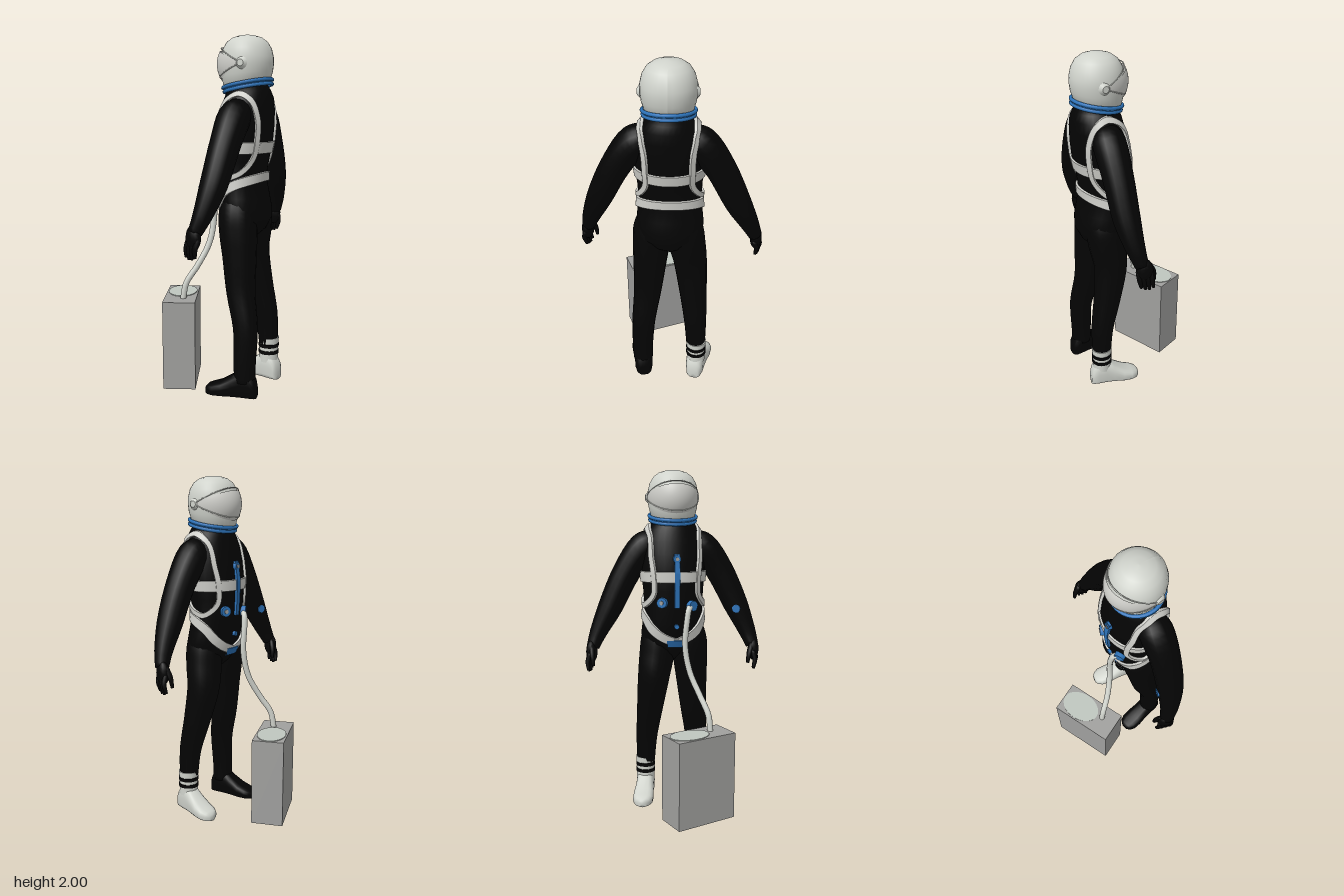
import * as THREE from 'three';

const mat = (name, color, side = THREE.FrontSide) => {
  const m = new THREE.MeshStandardMaterial({ color, side });
  m.name = name;
  return m;
};
const V = (x, y, z) => new THREE.Vector3(x, y, z);
const YAW = 0.36;

// Skin a list of point rings, with optional end caps; faces are turned outward
function loft(rings, closed = true) {
  const n = rings[0].length, pos = [], idx = [];
  rings.forEach(r => r.forEach(p => pos.push(p.x, p.y, p.z)));
  for (let i = 0; i < rings.length - 1; i++)
    for (let j = 0; j < (closed ? n : n - 1); j++) {
      const a = i * n + j, b = i * n + (j + 1) % n;
      idx.push(a, b, a + n, b, b + n, a + n);
    }
  if (closed) {
    for (const e of [0, rings.length - 1]) {
      const c = rings[e].reduce((s, p) => s.add(p), V(0, 0, 0)).divideScalar(n);
      const k = pos.length / 3;
      pos.push(c.x, c.y, c.z);
      for (let j = 0; j < n; j++) {
        const a = e * n + j, b = e * n + (j + 1) % n;
        if (e) idx.push(a, b, k); else idx.push(b, a, k);
      }
    }
    let vol = 0;
    const P = i => V(pos[3 * i], pos[3 * i + 1], pos[3 * i + 2]);
    for (let i = 0; i < idx.length; i += 3) vol += P(idx[i]).dot(P(idx[i + 1]).cross(P(idx[i + 2])));
    if (vol < 0) idx.reverse();
  }
  const g = new THREE.BufferGeometry();
  g.setAttribute('position', new THREE.Float32BufferAttribute(pos, 3));
  g.setIndex(idx);
  g.computeVertexNormals();
  return g;
}

// Tapered tube through [x, y, z, radius] points
function limb(pts, steps = 20, sides = 16) {
  const path = new THREE.CatmullRomCurve3(pts.map(p => V(p[0], p[1], p[2])));
  const rad = new THREE.CatmullRomCurve3(pts.map((p, i) => V(p[3], i, 0)));
  const rings = [];
  for (let i = 0; i <= steps; i++) {
    const t = i / steps, c = path.getPoint(t), r = rad.getPoint(t).x;
    const tan = path.getTangent(t);
    const u = V(0, 0, 1).cross(tan).normalize(), w = tan.clone().cross(u);
    rings.push(Array.from({ length: sides }, (_, j) => {
      const a = j / sides * Math.PI * 2;
      return c.clone().addScaledVector(u, r * Math.cos(a)).addScaledVector(w, r * Math.sin(a));
    }));
  }
  return loft(rings);
}

// Torso sections: height, half width, half depth, shift in depth
const TORSO = [[0.9, 0.05, 0.05, 0], [0.94, 0.12, 0.095, 0], [1.0, 0.178, 0.13, -0.005], [1.06, 0.188, 0.136, -0.013],
  [1.12, 0.182, 0.135, -0.023], [1.22, 0.172, 0.13, -0.038], [1.32, 0.178, 0.14, -0.035], [1.42, 0.188, 0.152, -0.026],
  [1.52, 0.188, 0.15, -0.015], [1.6, 0.178, 0.143, -0.006], [1.66, 0.157, 0.134, 0], [1.7, 0.127, 0.12, 0], [1.74, 0.09, 0.1, 0]];
function torsoPoint(deg, y, off = 0) {
  let i = 0;
  while (i < TORSO.length - 2 && y > TORSO[i + 1][0]) i++;
  const [A, B] = [TORSO[i], TORSO[i + 1]], t = (y - A[0]) / (B[0] - A[0]), a = deg * Math.PI / 180;
  const mix = k => A[k] + (B[k] - A[k]) * t;
  return V((mix(1) + off) * Math.cos(a), y, (mix(2) + off) * Math.sin(a) + mix(3));
}

// Webbing laid on the torso through [angle, height] points
function ribbon(pts, width, loop, off = 0.01) {
  const K = 0.003; // degrees to surface length
  const c = new THREE.CatmullRomCurve3(pts.map(p => V(p[0] * K, p[1], 0)), loop);
  const rings = [], n = 72;
  for (let i = 0; i <= n; i++) {
    const p = c.getPoint(i / n), t = c.getTangent(i / n);
    rings.push([[-1, 0], [-0.96, 1], [-0.9, 1], [0.9, 1], [0.96, 1], [1, 0]].map(([s, o]) =>
      torsoPoint((p.x - t.y * s * width / 2) / K, p.y + t.x * s * width / 2, off * o)));
  }
  return loft(rings, false);
}

export function createModel() {
  const root = new THREE.Group();
  const black = mat('suit black', 0x040404), white = mat('shell white', 0xd0d3cc);
  const web = mat('webbing white', 0xcfcfca, THREE.DoubleSide);
  const blue = mat('fitting blue', 0x2c72b8, THREE.DoubleSide);
  const grey = mat('case grey', 0xa0a09e), pale = mat('lid pale grey', 0xbfc6bf);
  const add = (parent, name, geo, m, x = 0, y = 0, z = 0) => {
    const o = new THREE.Mesh(geo, m);
    o.name = name;
    o.position.set(x, y, z);
    parent.add(o);
    return o;
  };

  // Torso, turned to face backward and slightly aside
  const body = new THREE.Group();
  body.name = 'body';
  body.position.set(0.02, 0, 0.165);
  body.rotation.y = YAW;
  root.add(body);
  add(body, 'torso', loft(TORSO.map(r => Array.from({ length: 32 }, (_, j) => torsoPoint(j * 11.25, r[0])))), black);

  // Harness
  const belt = [[-90, 1.01], [-65, 1.045], [-45, 1.09], [-20, 1.155], [20, 1.205], [90, 1.235],
    [160, 1.205], [200, 1.155], [225, 1.09], [245, 1.045], [270, 1.01]];
  add(body, 'chestBand', ribbon([[0, 1.395], [360, 1.395]], 0.064), web);
  add(body, 'waistBelt', ribbon(belt, 0.052, false, 0.013), web);
  const strap = [[5, 1.24], [28, 1.27], [48, 1.34], [51, 1.45], [48, 1.55], [32, 1.645], [0, 1.685], [-35, 1.63],
    [-44, 1.5], [-48, 1.39], [-44, 1.29], [-15, 1.23]];
  add(body, 'leftShoulderStrap', ribbon(strap, 0.03, true, 0.015), web);
  add(body, 'rightShoulderStrap', ribbon(strap.map(([a, y]) => [180 - a, y]), 0.03, true, 0.015), web);

  // Front fittings
  add(body, 'zip', ribbon([[-90, 1.22], [-90, 1.53]], 0.028, false, 0.015), blue);
  const dial = (name, deg, y, r, m, h = 0.034) => {
    const p = torsoPoint(deg, y), a = deg * Math.PI / 180;
    const o = add(body, name, new THREE.CylinderGeometry(r, r * 1.1, h, 14), m, p.x, p.y, p.z);
    o.quaternion.setFromUnitVectors(V(0, 1, 0), V(Math.cos(a), 0, Math.sin(a)));
  };
  dial('chestValve', -90, 1.5, 0.022, blue);
  dial('chestValveCap', -90, 1.5, 0.01, grey, 0.042);
  dial('leftDial', -62, 1.25, 0.03, blue);
  dial('leftDialCap', -62, 1.25, 0.012, grey, 0.042);
  dial('hoseSocket', -120, 1.23, 0.03, blue, 0.05);
  dial('bellyFitting', -90, 1.11, 0.014, blue);
  add(body, 'crotchBuckle', ribbon([[-106, 1.005], [-74, 1.005]], 0.045, false, 0.017), blue);

  // Arms and gloves
  const arms = {
    right: [[-0.09, 1.6, 0.205, 0.07], [-0.15, 1.56, 0.22, 0.09], [-0.245, 1.43, 0.25, 0.083], [-0.348, 1.22, 0.268, 0.073],
      [-0.422, 1.06, 0.258, 0.051], [-0.455, 0.98, 0.24, 0.038]],
    left: [[0.12, 1.6, 0.125, 0.07], [0.18, 1.56, 0.11, 0.09], [0.275, 1.42, 0.08, 0.083], [0.37, 1.21, 0.045, 0.073],
      [0.435, 1.06, 0.005, 0.051], [0.46, 0.98, -0.022, 0.038]]
  };
  for (const side in arms) {
    const s = side === 'left' ? 1 : -1, x = s * 0.463, z = s > 0 ? -0.035 : 0.237;
    add(root, side + 'Arm', limb(arms[side]), black);
    add(root, side + 'Palm', new THREE.SphereGeometry(1, 14, 10).scale(0.032, 0.068, 0.047), black, x, 0.955, z);
    for (let i = 0; i < 4; i++) {
      const fz = z + (i - 1.5) * 0.022, tip = 0.836 + Math.abs(i - 1.4) * 0.01;
      add(root, side + 'Finger', limb([[x, 0.95, fz, 0.015], [x + s * 0.014, 0.9, fz - 0.006, 0.014],
        [x + s * 0.006, tip, fz - 0.016, 0.009]], 6, 8), black);
    }
    add(root, side + 'Thumb', limb([[x - s * 0.008, 0.99, z - 0.02, 0.017], [x - s * 0.02, 0.935, z - 0.05, 0.015],
      [x - s * 0.026, 0.88, z - 0.058, 0.009]], 6, 8), black);
  }
  add(root, 'sleeveDial', new THREE.CylinderGeometry(0.025, 0.025, 0.012, 12).rotateX(Math.PI / 2), blue, -0.36, 1.2, 0.198);

  // Legs
  add(root, 'rightLeg', limb([[-0.06, 1.13, 0.165, 0.085], [-0.08, 1.03, 0.178, 0.105], [-0.085, 0.93, 0.188, 0.106],
    [-0.09, 0.8, 0.203, 0.096], [-0.1, 0.6, 0.224, 0.081], [-0.11, 0.4, 0.27, 0.069], [-0.12, 0.2, 0.275, 0.062],
    [-0.12, 0.1, 0.275, 0.06]], 28), black);
  add(root, 'leftLeg', limb([[0.08, 1.13, 0.135, 0.085], [0.095, 1.03, 0.134, 0.105], [0.105, 0.93, 0.124, 0.106],
    [0.12, 0.8, 0.106, 0.097], [0.15, 0.6, 0.13, 0.081], [0.18, 0.4, 0.165, 0.066], [0.19, 0.22, 0.175, 0.056]], 28), black);

  // Boots: sections of length, half width, height
  const FOOT = [[0.07, 0.03, 0.07], [0.06, 0.045, 0.11], [0.03, 0.054, 0.16], [-0.02, 0.054, 0.165], [-0.07, 0.055, 0.125],
    [-0.13, 0.062, 0.085], [-0.18, 0.06, 0.066], [-0.21, 0.045, 0.055], [-0.225, 0.02, 0.04]];
  const pw = (v, e) => Math.sign(v) * Math.pow(Math.abs(v), e);
  const footGeo = loft(FOOT.map(([z, w, h]) => Array.from({ length: 20 }, (_, j) => {
    const a = j / 20 * Math.PI * 2, c = Math.cos(a), s = Math.sin(a);
    return V(w * pw(c, 0.7), h / 2 + h / 2 * pw(s, s < 0 ? 0.4 : 0.9), z);
  })));
  for (const [name, x, z, yaw, m] of [['leftBoot', 0.192, 0.175, 0.13, white], ['rightBoot', -0.12, 0.275, 0.5, black]]) {
    const boot = add(root, name, footGeo, m, x, 0.005, z);
    boot.rotation.y = yaw;
    add(boot, name + 'Ankle', new THREE.CylinderGeometry(0.055, 0.056, 0.14, 20), m, 0, 0.175, 0);
    add(boot, name + 'Cuff', new THREE.CylinderGeometry(0.06, 0.058, 0.035, 20), m, 0, 0.235, 0);
    for (const y of [0.165, 0.205])
      add(boot, name + 'Stripe', new THREE.CylinderGeometry(0.06, 0.06, 0.02, 20), black, 0, y, 0);
  }

  // Helmet, its lower edge sloping down toward the face
  const head = new THREE.Group();
  head.name = 'helmet';
  head.position.set(0.015, 0, 0.154);
  head.rotation.y = YAW;
  root.add(head);
  const prof = [[0.1, 1.715], [0.126, 1.735], [0.141, 1.79], [0.146, 1.84], [0.145, 1.88], [0.134, 1.925],
    [0.112, 1.962], [0.08, 1.985], [0.04, 1.997], [0, 2]];
  const dome = new THREE.LatheGeometry(prof.map(p => new THREE.Vector2(...p)), 36);
  const dp = dome.attributes.position;
  for (let i = 0; i < dp.count; i++) {
    const t = THREE.MathUtils.clamp((1.87 - dp.getY(i)) / 0.13, 0, 1);
    dp.setY(i, dp.getY(i) + 0.17 * t * dp.getZ(i));
  }
  dome.computeVertexNormals();
  add(head, 'dome', dome, white);

  // Visor wedge hinged behind the middle of the helmet
  const visor = new THREE.Group();
  visor.name = 'visorAssembly';
  visor.position.set(0, 1.845, 0.025);
  head.add(visor);
  const up = 0.55, down = 0.45;
  add(visor, 'visor', new THREE.SphereGeometry(1, 20, 32, Math.PI * 1.5 - down, up + down)
    .rotateZ(Math.PI / 2).scale(0.15, 0.172, 0.196), web);
  for (const t of [up, -down])
    add(visor, 'visorRim', new THREE.TorusGeometry(1, 0.018, 8, 36, Math.PI).rotateX(-Math.PI / 2 + t)
      .scale(0.15, 0.172, 0.196), white);
  for (const s of [-1, 1])
    add(visor, 'visorPivot', new THREE.CylinderGeometry(0.018, 0.034, 0.016, 16).rotateZ(-s * Math.PI / 2), white, s * 0.148, 0, 0);

  // Neck ring
  const collar = new THREE.Group();
  collar.name = 'neckRing';
  collar.position.set(0, 1.728, 0.005);
  collar.rotation.x = -0.18;
  head.add(collar);
  for (const [y, r] of [[0.011, 0.137], [-0.012, 0.133]])
    add(collar, 'ring', new THREE.TorusGeometry(r, 0.01, 10, 40).rotateX(Math.PI / 2), blue, 0, y, 0);
  add(collar, 'ringBand', new THREE.CylinderGeometry(0.139, 0.136, 0.018, 40), blue);

  // Portable case, lid plate and hose
  const pack = new THREE.Group();
  pack.name = 'portableCase';
  pack.position.set(-0.2, 0.275, -0.16);
  pack.rotation.y = 0.747;
  root.add(pack);
  add(pack, 'caseBody', new THREE.BoxGeometry(0.375, 0.51, 0.184), grey);
  add(pack, 'lidPlate', new THREE.CylinderGeometry(0.12, 0.12, 0.006, 28).scale(1, 1, 0.7), pale, 0.062, 0.256, 0);
  const hose = new THREE.CatmullRomCurve3([[-0.115, 1.23, 0.06], [-0.108, 1.215, 0.02], [-0.1, 1.15, 0.005], [-0.09, 1.0, 0],
    [-0.12, 0.85, -0.008], [-0.185, 0.72, -0.038], [-0.24, 0.62, -0.075], [-0.255, 0.525, -0.088]].map(p => V(...p)));
  add(root, 'hose', new THREE.TubeGeometry(hose, 48, 0.017, 12), white);
  return root;
}
